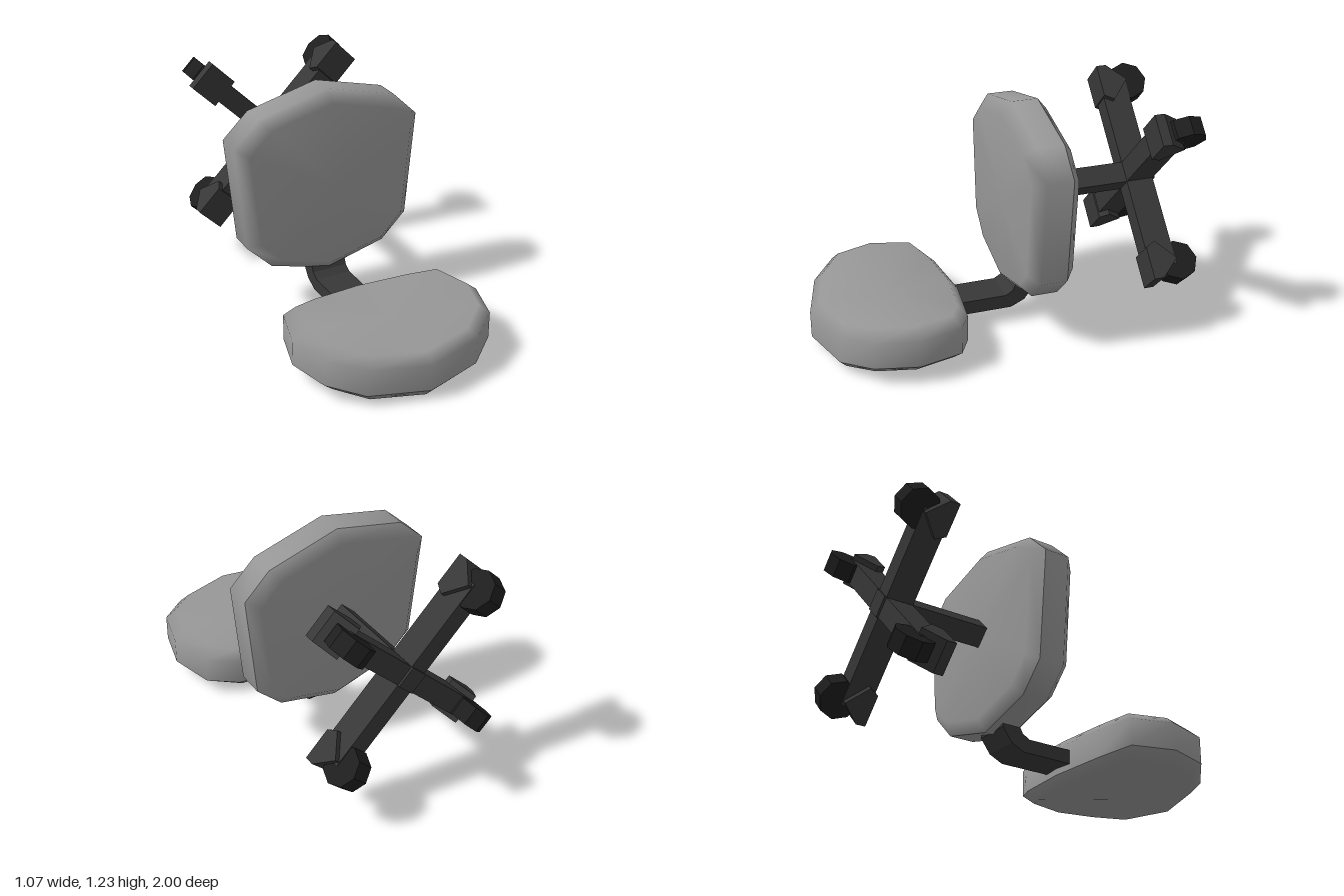
import * as THREE from 'three';

const padGrey = new THREE.MeshStandardMaterial({ color: 0x979797 });
const frameDark = new THREE.MeshStandardMaterial({ color: 0x373737 });
const wheelBlack = new THREE.MeshStandardMaterial({ color: 0x1e1e1e });
padGrey.name = 'padGrey';
frameDark.name = 'frameDark';
wheelBlack.name = 'wheelBlack';

// Half outline [x, y, lift] from top centre to bottom centre -> full counter-clockwise loop
function mirrorOutline(half) {
  const left = half.slice(1, -1).map(([x, y, lift]) => [-x, y, lift]);
  return [half[0], ...left, half[half.length - 1], ...half.slice(1, -1).reverse()];
}

// Smooth skin through rings [scale, height]; closed by a fan on the last ring (or first, if capFirst)
function skin(outline, cy, rings, capFirst) {
  const n = outline.length, pos = [], index = [];
  for (const [s, h] of rings)
    for (const [x, y, lift = 0] of outline) pos.push(x * s, cy + (y - cy) * s, h + lift);
  for (let r = 0; r < rings.length - 1; r++)
    for (let i = 0; i < n; i++) {
      const a = r * n + i, b = r * n + (i + 1) % n;
      index.push(a, b, b + n, a, b + n, a + n);
    }
  const base = capFirst ? 0 : (rings.length - 1) * n, centre = rings.length * n;
  pos.push(0, cy, rings[capFirst ? 0 : rings.length - 1][1]);
  for (let i = 0; i < n; i++) {
    const a = base + i, b = base + (i + 1) % n;
    if (capFirst) index.push(b, a, centre);
    else index.push(a, b, centre);
  }
  const g = new THREE.BufferGeometry();
  g.setAttribute('position', new THREE.Float32BufferAttribute(pos, 3));
  g.setIndex(index);
  g.computeVertexNormals();
  return g;
}

function mesh(name, geometry, material) {
  const m = new THREE.Mesh(geometry, material);
  m.name = name;
  return m;
}

// Cushion: soft front and sides, with a hard seam towards the back shell
function makePad(name, half, cy, h) {
  const outline = mirrorOutline(half), g = new THREE.Group();
  g.name = name;
  g.add(mesh(name + 'Cushion', skin(outline, cy, [[1, h[1]], [1, h[2]], [0.88, h[3]]], false), padGrey));
  g.add(mesh(name + 'Shell', skin(outline, cy, [[0.88, h[0]], [1, h[1]]], true), padGrey));
  return g;
}

function extrude(points, depth) {
  const shape = new THREE.Shape(points.map(([x, y]) => new THREE.Vector2(x, y)));
  const g = new THREE.ExtrudeGeometry(shape, { depth, bevelEnabled: false });
  return g.translate(0, 0, -depth / 2);
}

// One spoke along local +x with its caster; local z is the model's z
function makeLeg() {
  const leg = new THREE.Group();
  const arm = mesh('baseArm', new THREE.BoxGeometry(0.54, 0.11, 0.15), frameDark);
  arm.position.set(0.27, 0, -0.803);
  const hood = mesh('casterHood', extrude([
    [0.44, -0.722], [0.41, -0.775], [0.52, -0.875], [0.615, -0.775], [0.615, -0.722],
  ].reverse(), 0.17).rotateX(Math.PI / 2), frameDark);
  // the profile's second axis must follow z
  hood.geometry.scale(1, 1, 1);
  const wheelGeo = new THREE.CylinderGeometry(0.107, 0.107, 0.1, 8).toNonIndexed();
  wheelGeo.computeVertexNormals();
  const wheel = mesh('casterWheel', wheelGeo, wheelBlack);
  wheel.position.set(0.525, 0, -0.893);
  leg.add(arm, hood, wheel);
  return leg;
}

export function createModel() {
  const model = new THREE.Group();
  model.name = 'tippedChair';

  // Seat, standing on edge
  model.add(makePad('seat', [
    [0, 1.235], [0.39, 1.135], [0.53, 1.0], [0.475, 0.42], [0.335, 0.28], [0, 0.19],
  ], 0.713, [-0.29, -0.24, -0.10, -0.04]));

  // Backrest, lying flat with its sides curling up
  const back = makePad('backrest', [
    [0, -0.2, 0], [0.31, -0.24, 0.012], [0.47, -0.32, 0.043], [0.533, -0.555, 0.048],
    [0.47, -0.78, 0.043], [0.31, -0.915, 0.012], [0, -1.0, 0],
  ], -0.595, [0.003, 0.055, 0.2, 0.252]);
  back.rotation.x = -Math.PI / 2;
  model.add(back);

  // Bent bracket joining seat and backrest, profile in (z, y)
  const bracket = mesh('backBracket', extrude([
    [0.3, 0.09], [0.3, 0.165], [-0.04, 0.165], [-0.08, 0.19], [-0.11, 0.25],
    [-0.2, 0.25], [-0.2, 0.2], [-0.145, 0.125], [-0.07, 0.09],
  ], 0.2), frameDark);
  bracket.rotation.y = -Math.PI / 2;
  model.add(bracket);

  // Square column, set on its corner
  const columnGeo = new THREE.CylinderGeometry(0.08, 0.08, 0.62, 4).toNonIndexed();
  columnGeo.computeVertexNormals();
  const column = mesh('column', columnGeo, frameDark);
  column.rotation.x = Math.PI / 2;
  column.position.set(0, 0.73, -0.58);
  model.add(column);

  // Four spokes in an X
  for (let i = 0; i < 4; i++) {
    const leg = makeLeg();
    leg.name = 'baseLeg' + (i + 1);
    leg.position.y = 0.73;
    leg.rotation.z = Math.PI / 4 + i * Math.PI / 2;
    model.add(leg);
  }
  return model;
}
